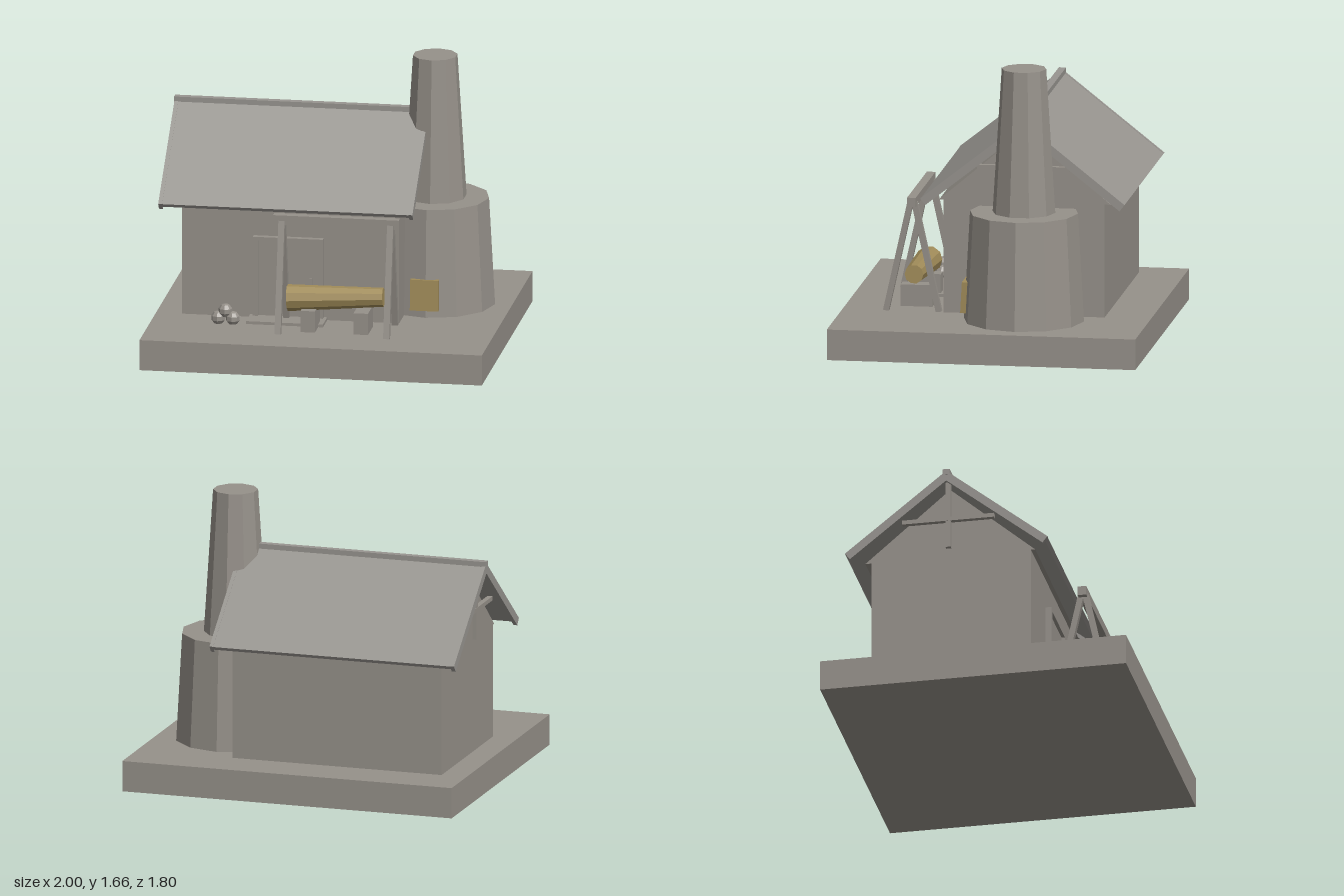
import * as THREE from 'three';

const mat = (name, color) => {
  const m = new THREE.MeshStandardMaterial({ color, flatShading: true });
  m.name = name;
  return m;
};

export function createModel() {
  const model = new THREE.Group();
  model.name = 'workshop';
  const stone = mat('warm grey', 0x96918a);
  const roofGrey = mat('roof grey', 0x989590);
  const brass = mat('brass', 0xa18c59);

  const add = (name, geo, material, x = 0, y = 0, z = 0) => {
    const m = new THREE.Mesh(geo, material);
    m.name = name;
    m.position.set(x, y, z);
    model.add(m);
    return m;
  };
  // Box given by its limits
  const box = (name, material, x0, x1, y0, y1, z0, z1) =>
    add(name, new THREE.BoxGeometry(x1 - x0, y1 - y0, z1 - z0), material,
      (x0 + x1) / 2, (y0 + y1) / 2, (z0 + z1) / 2);

  const ground = 0.18, midZ = -0.165;
  box('base', stone, -1, 1, 0, ground, -0.9, 0.9);

  // House body and gabled attic
  box('walls', stone, -0.85, 0.42, ground, 0.845, -0.63, 0.31);
  const tri = new THREE.Shape([[-0.5, 0.845], [0.5, 0.845], [0, 1.27]].map(p => new THREE.Vector2(...p)));
  const attic = add('gable', new THREE.ExtrudeGeometry(tri, { depth: 1.27, bevelEnabled: false }),
    stone, -0.85, 0, midZ);
  attic.rotation.y = Math.PI / 2;

  // Roof: two sloping slabs with thicker boards along the gable edges
  const apex = 1.335, run = 0.595, drop = 0.47;
  const pitch = Math.atan2(drop, run), slope = Math.hypot(run, drop);
  const roofPiece = (name, x0, x1, thick, side, lift = 0) => {
    const off = thick / 2 - lift;
    const m = add(name, new THREE.BoxGeometry(x1 - x0, thick, slope), roofGrey, (x0 + x1) / 2,
      apex - drop / 2 - Math.cos(pitch) * off,
      midZ + side * (run / 2 - Math.sin(pitch) * off));
    m.rotation.x = side * pitch;
  };
  for (const side of [1, -1]) {
    roofPiece('roofSlab', -0.96, 0.51, 0.025, side);
    roofPiece('bargeBoard', -0.968, -0.945, 0.048, side, 0.002);
    roofPiece('bargeBoard', 0.495, 0.517, 0.048, side, 0.002);
  }
  box('ridgeCap', roofGrey, -0.97, 0.5, 1.315, 1.348, midZ - 0.021, midZ + 0.021);

  // Gable trusses
  for (const x of [-0.9, 0.47]) {
    box('collarBeam', stone, x - 0.015, x + 0.015, 1.045, 1.07, midZ - 0.27, midZ + 0.27);
    box('kingPost', stone, x - 0.013, x + 0.013, 0.88, 1.3, midZ - 0.015, midZ + 0.015);
  }

  // Furnace and chimney
  add('furnace', new THREE.CylinderGeometry(0.315, 0.35, 0.635, 12), stone, 0.55, 0.4975, -0.18);
  add('chimney', new THREE.CylinderGeometry(0.13, 0.183, 0.845, 10), stone, 0.55, 1.2375, -0.18);
  const hatch = add('furnaceDoor', new THREE.BoxGeometry(0.165, 0.182, 0.032), brass, 0.543, 0.313, 0.16);
  hatch.rotation.x = -0.055;

  // Door, frame, handle and step
  box('door', stone, -0.4, -0.05, ground, 0.65, 0.305, 0.325);
  box('doorJamb', stone, -0.43, -0.4, ground, 0.67, 0.305, 0.345);
  box('doorJamb', stone, -0.05, -0.02, ground, 0.67, 0.305, 0.345);
  box('doorLintel', stone, -0.4, -0.05, 0.65, 0.67, 0.305, 0.345);
  box('doorHandle', stone, -0.1, -0.085, 0.39, 0.43, 0.32, 0.34);
  box('doorStep', stone, -0.45, 0, ground, 0.197, 0.31, 0.465);

  // Hoist frame: beam on two pairs of splayed legs
  const frameZ = 0.493;
  box('hoistBeam', stone, -0.283, 0.452, 0.8, 0.855, frameZ - 0.025, frameZ + 0.025);
  for (const x of [-0.233, 0.402]) for (const side of [1, -1]) {
    const dy = 0.64, dz = 0.142;
    const leg = add('hoistLeg', new THREE.BoxGeometry(0.036, Math.hypot(dy, dz), 0.034), stone,
      x, ground + dy / 2, frameZ + side * (0.012 + dz / 2));
    leg.rotation.x = -side * Math.atan2(dz, dy);
  }

  // Tapered barrel on two blocks
  const barrel = add('barrel', new THREE.CylinderGeometry(0.055, 0.078, 0.56, 10), brass, 0.08, 0.371, 0.492);
  barrel.rotation.z = -Math.PI / 2 + 0.05;
  for (const x of [-0.07, 0.24]) box('supportBlock', stone, x - 0.042, x + 0.042, ground, 0.307, 0.397, 0.582);

  // Pile of round stones
  for (const [x, y] of [[-0.612, 0.213], [-0.526, 0.213], [-0.569, 0.257]])
    add('stoneBall', new THREE.SphereGeometry(0.042, 8, 5), stone, x, y, 0.467);

  return model;
}
